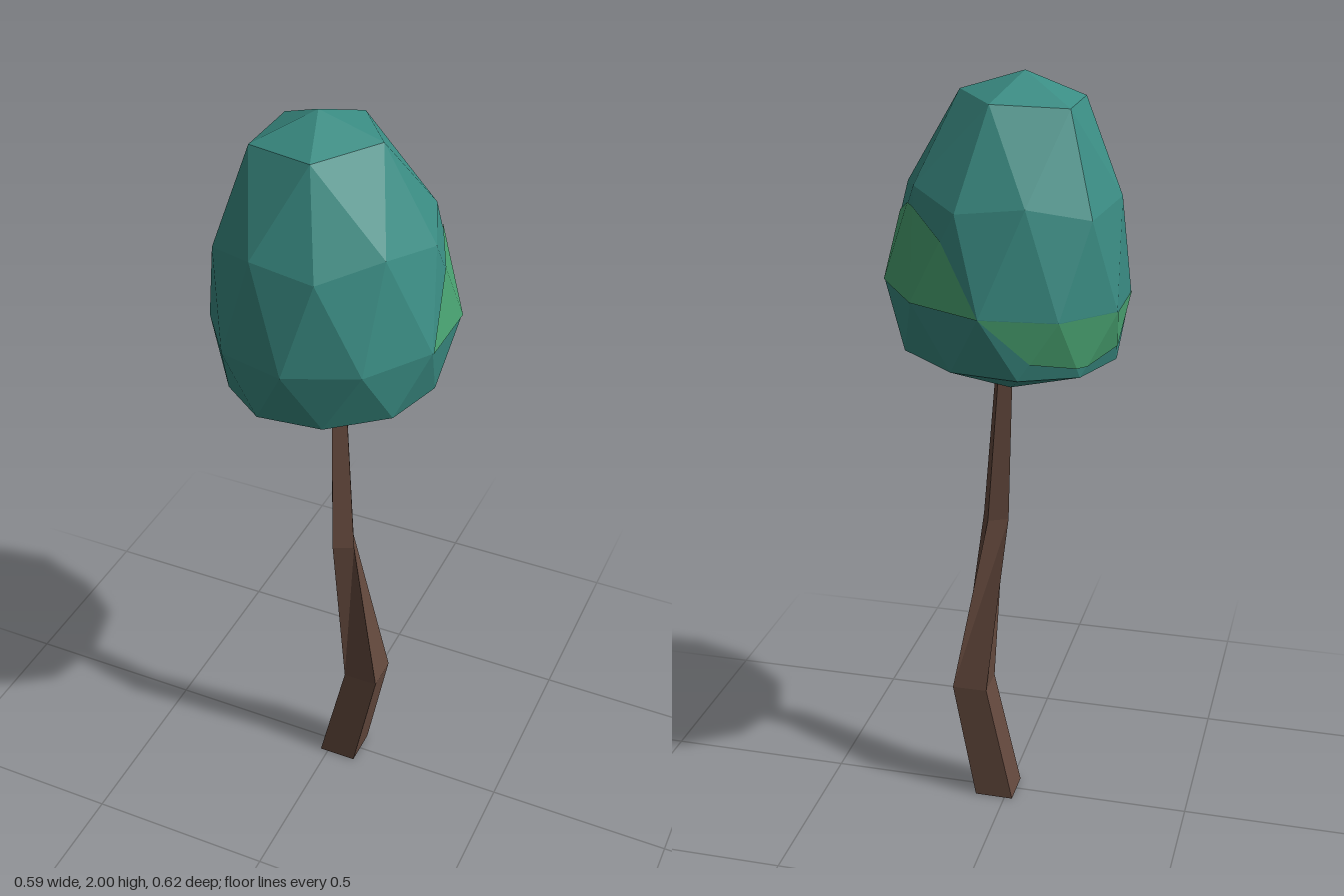
import * as THREE from 'three';

const leafTeal = new THREE.MeshStandardMaterial({ color: 0x3a8c83 });
const leafGreen = new THREE.MeshStandardMaterial({ color: 0x4aa573 });
const barkBrown = new THREE.MeshStandardMaterial({ color: 0x654a3e });
for (const m of [leafTeal, leafGreen, barkBrown]) m.flatShading = true;

const V = (x, y, z) => new THREE.Vector3(x, y, z);
const at = (ring, i) => ring[(i + ring.length * 2) % ring.length];

// Faceted mesh from a list of triangles
function facetMesh(name, tris, material) {
  const g = new THREE.BufferGeometry().setFromPoints(tris.flat());
  g.computeVertexNormals();
  const mesh = new THREE.Mesh(g, material);
  mesh.name = name;
  return mesh;
}

// Point on the leaning egg: angle in degrees, radius, height, sideways lean
function eggPoint(deg, r, y, lean) {
  const a = THREE.MathUtils.degToRad(deg);
  const x = lean + r * Math.cos(a);
  return V(x, y + 0.07 * x, r * Math.sin(a));
}
const ring = (n, start, f) => Array.from({ length: n }, (_, i) => f(start + i * 360 / n, i));

// Half of a subdivided icosahedron, from its pole to the equator
function eggHalf(phase, pole, cap, corner, middle) {
  return {
    pole: eggPoint(0, 0, ...pole),
    cap: ring(5, phase, d => eggPoint(d, ...cap)),
    belt: ring(10, phase, (d, i) => eggPoint(d, ...(i % 2 ? middle : corner))),
    equator: ring(10, phase + 18, d => eggPoint(d, 0.307, 1.473, 0)),
  };
}

function halfFaces({ pole, cap, belt, equator }) {
  const f = [];
  for (let k = 0; k < 5; k++) {
    const c = cap[k], next = at(cap, k + 1);
    f.push([pole, next, c],
      [c, at(belt, 2 * k), at(belt, 2 * k - 1)],
      [c, at(belt, 2 * k + 1), at(belt, 2 * k)],
      [c, next, at(belt, 2 * k + 1)]);
  }
  for (let j = 0; j < 10; j++) {
    f.push([belt[j], at(belt, j + 1), equator[j]], [equator[j], at(equator, j - 1), belt[j]]);
  }
  return f;
}

// Arched light patch resting on three equator edges, lifted just off the crown
function patchFaces({ belt, equator }, s) {
  const e = [0, 1, 2, 3].map(i => at(equator, s - i));
  const b = [0, 1, 2].map(i => at(belt, s - i));
  const mix = (p, q, t) => p.clone().lerp(q, t);
  const p = [mix(e[1], b[0], 0.7), mix(e[1], b[1], 0.82), mix(e[2], b[1], 0.82), mix(e[2], b[2], 0.7)];
  const c = V(0, 1.5, 0);
  return [
    [e[0], e[1], p[0]], [e[1], p[1], p[0]], [e[1], e[2], p[1]],
    [e[2], p[2], p[1]], [e[2], p[3], p[2]], [e[2], e[3], p[3]],
  ].map(t => t.map(v => v.clone().sub(c).multiplyScalar(1.008).add(c)));
}

const flip = tris => tris.map(([a, b, c]) => [a, c, b]);

// Bent, tapering four-sided trunk: x, y, z, half width, twist in degrees
function trunkFaces() {
  const rings = [
    [0.03, 0, -0.002, 0.052, 0],
    [0.1, 0.33, 0.002, 0.047, 0],
    [0.047, 0.815, 0.05, 0.028, -25],
    [0.01, 1.29, 0, 0.017, -25],
  ].map(([x, y, z, h, twist]) => ring(4, 45 + twist, d => {
    const a = THREE.MathUtils.degToRad(d), r = h * Math.SQRT2;
    return V(x + r * Math.cos(a), y, z + r * Math.sin(a));
  }));
  const f = [];
  for (let i = 0; i < 3; i++) {
    for (let k = 0; k < 4; k++) {
      const a = rings[i][k], b = at(rings[i], k + 1);
      const c = rings[i + 1][k], d = at(rings[i + 1], k + 1);
      f.push([a, c, b], [b, c, d]);
    }
  }
  const [p, q, r, s] = rings[0], [t, u, v, w] = rings[3];
  f.push([p, q, r], [p, r, s], [t, v, u], [t, w, v]);
  return f;
}

export function createModel() {
  const model = new THREE.Group();
  model.name = 'tree';

  // Crown: pole [y, lean], then cap, corner and middle points [radius, y, lean]
  const upper = eggHalf(0, [2.003, -0.04], [0.161, 1.942, -0.04], [0.274, 1.703, -0.018], [0.263, 1.732, -0.018]);
  const lower = eggHalf(36, [1.257, 0], [0.161, 1.261, 0.008], [0.276, 1.32, 0], [0.266, 1.314, 0]);
  model.add(facetMesh('crown', [...halfFaces(upper), ...flip(halfFaces(lower))], leafTeal));

  // Light leaf patches on the side and back
  model.add(facetMesh('upperLeafPatch', patchFaces(upper, 10), leafGreen));
  model.add(facetMesh('lowerLeafPatch', flip(patchFaces(lower, 6)), leafGreen));

  model.add(facetMesh('trunk', trunkFaces(), barkBrown));
  return model;
}
